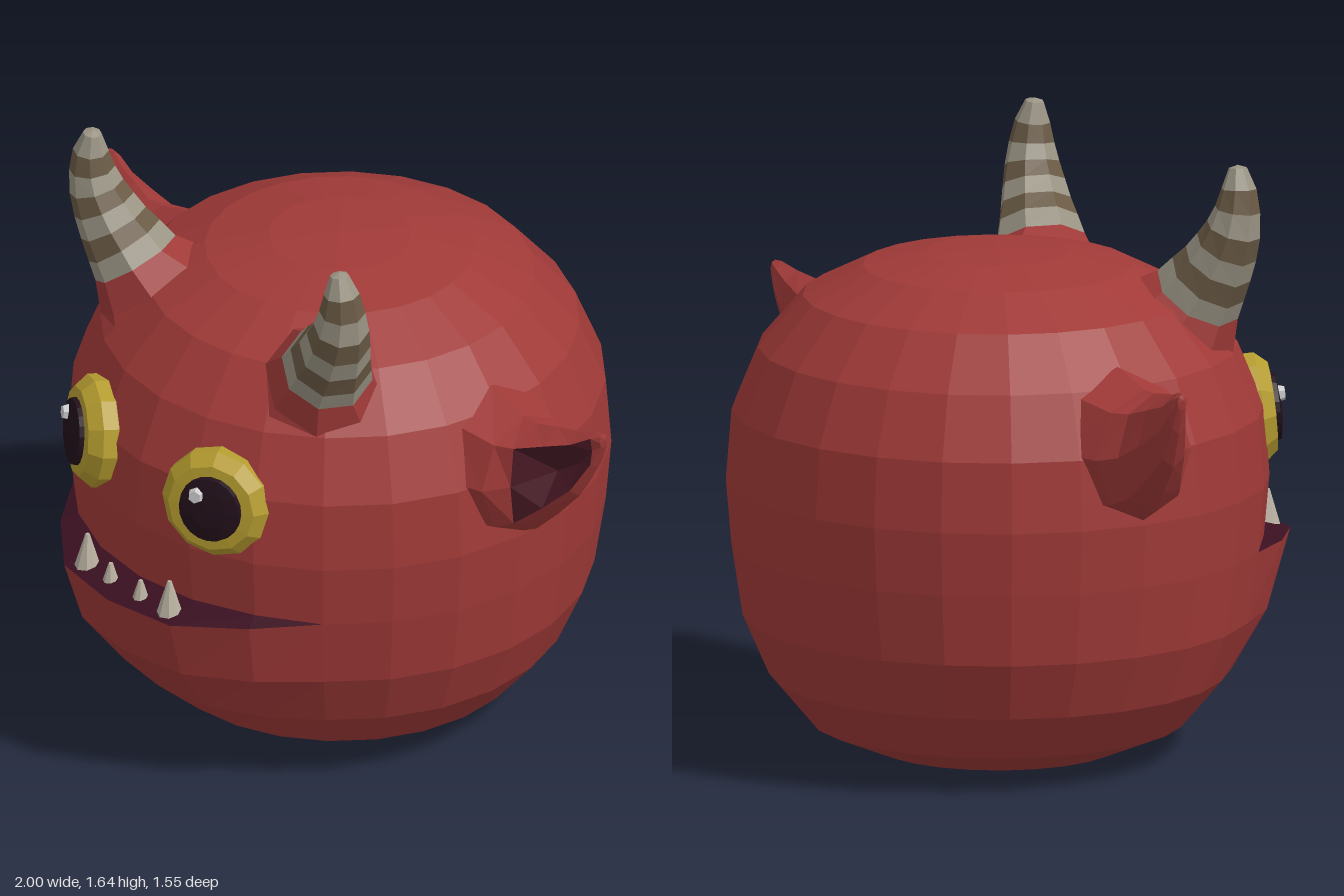
import * as THREE from 'three';

const material = (color) => new THREE.MeshStandardMaterial({ color, flatShading: true, side: THREE.DoubleSide });
const red = material(0xa03a38), mouthDark = material(0x3a1020), earDark = material(0x4a1a26);
const yellow = material(0xb59c30), black = material(0x22101a), white = material(0xcccccc);
const hornLight = material(0x9a9484), hornBrown = material(0x6a5a45), toothColor = material(0xb8b0a0);
const V = (x, y, z) => new THREE.Vector3(x, y, z);

// Skins closed rings of points; side = -1 mirrors in x; keep(row, column) selects faces
function loft(rings, side = 1, keep = () => true) {
  const pos = [];
  const tri = (a, b, c) => {
    const area = b.clone().sub(a).cross(c.clone().sub(a)).length();
    if (area < 1e-8) return;
    for (const p of side > 0 ? [a, b, c] : [a, c, b]) pos.push(p.x * side, p.y, p.z);
  };
  for (let r = 0; r < rings.length - 1; r++) {
    const lo = rings[r], hi = rings[r + 1], n = lo.length;
    for (let c = 0; c < n; c++) {
      if (!keep(r, c)) continue;
      const d = (c + 1) % n;
      tri(lo[c], lo[d], hi[d]);
      tri(lo[c], hi[d], hi[c]);
    }
  }
  const g = new THREE.BufferGeometry();
  g.setAttribute('position', new THREE.Float32BufferAttribute(pos, 3));
  g.computeVertexNormals();
  return g;
}

function add(parent, name, geometry, mat) {
  const m = new THREE.Mesh(geometry, mat);
  m.name = name;
  parent.add(m);
  return m;
}

// Circle of points around a centre, square to an axis
function circle(center, axis, radius, n = 8) {
  const n1 = axis.clone().normalize();
  const zDir = V(0, 0, 1).addScaledVector(n1, -n1.z).normalize();
  const xDir = n1.clone().cross(zDir);
  return Array.from({ length: n }, (_, i) => {
    const a = (i / n) * Math.PI * 2;
    return center.clone().addScaledVector(xDir, radius * Math.sin(a)).addScaledVector(zDir, radius * Math.cos(a));
  });
}

// Round body split at the mouth, with the lower jaw pushed forward
function buildBody(group) {
  const SEG = 24, jawWeight = [1, 0.95, 0.42, 0];
  const ring = (y, r, push = 0) => Array.from({ length: SEG }, (_, i) => {
    const a = (i / SEG) * Math.PI * 2;
    const w = jawWeight[Math.min(i, SEG - i)] ?? 0;
    const rr = r + push * w;
    return V(rr * Math.sin(a), y - (push > 0.1 ? 0.02 * w : 0), -0.05 + rr * Math.cos(a));
  });
  const lowerLip = ring(0.575, 0.71, 0.115), upperLip = ring(0.575, 0.71);
  // the upper lip arches slightly above the mouth corners
  upperLip.forEach((p, i) => { if (Math.min(i, SEG - i) < 3) p.y += 0.008; });
  const lower = [ring(0, 0), ring(0.02, 0.33), ring(0.09, 0.5), ring(0.22, 0.61, 0.035),
    ring(0.38, 0.68, 0.09), lowerLip];
  const upper = [upperLip, ring(0.75, 0.725), ring(0.94, 0.71), ring(1.11, 0.64), ring(1.25, 0.52),
    ring(1.33, 0.36), ring(1.365, 0.19), ring(1.375, 0)];
  add(group, 'lowerBody', loft(lower), red);
  add(group, 'upperBody', loft(upper), red);
  add(group, 'mouth', loft([lowerLip, upperLip]), mouthDark);
}

// Striped, curved horn on a flared base
function buildHorn(side) {
  const g = new THREE.Group();
  g.name = side > 0 ? 'leftHorn' : 'rightHorn';
  const path = new THREE.CatmullRomCurve3([V(0.385, 1.27, 0.335), V(0.45, 1.37, 0.362),
    V(0.495, 1.47, 0.38), V(0.505, 1.56, 0.388), V(0.497, 1.63, 0.39)]);
  const radii = [0.125, 0.112, 0.098, 0.087, 0.075, 0.062, 0.048, 0.025];
  const rings = radii.map((r, i) => circle(path.getPointAt(i / 7), path.getTangentAt(i / 7), r));
  rings.push(circle(V(0.496, 1.638, 0.39), V(0, 1, 0), 0));
  const isLight = (r) => r % 2 === 0 || r === 7;
  add(g, 'lightBands', loft(rings, side, isLight), hornLight);
  add(g, 'brownBands', loft(rings, side, (r) => !isLight(r)), hornBrown);
  const axis = path.getTangentAt(0);
  add(g, 'hornBase', loft([circle(V(0.29, 1.1, 0.25), axis, 0.27),
    circle(V(0.345, 1.2, 0.295), axis, 0.175), rings[0]], side), red);
  return g;
}

// Pointed ear with a hollow, dark front
function buildEar(side) {
  const g = new THREE.Group();
  g.name = side > 0 ? 'leftEar' : 'rightEar';
  // x, centre y, centre z, half height, half depth, front scale
  const sections = [
    [0.6, 0.95, -0.06, 0.21, 0.2, 1], [0.73, 0.945, -0.06, 0.178, 0.15, 1],
    [0.78, 0.958, -0.06, 0.163, 0.115, 0.8], [0.85, 1.0, -0.075, 0.135, 0.08, 0],
    [0.92, 1.047, -0.09, 0.1, 0.05, 0], [0.97, 1.107, -0.105, 0.057, 0.03, 0.5],
    [0.995, 1.142, -0.11, 0.022, 0.015, 1], [1.0, 1.148, -0.11, 0, 0, 1],
  ];
  const rings = sections.map(([x, y, z, hy, hz, front]) => Array.from({ length: 8 }, (_, i) => {
    const a = (i / 8) * Math.PI * 2;
    return V(x, y - hy * Math.sin(a), z + hz * Math.cos(a) * (i === 0 ? front : 1));
  }));
  const hollow = (r, c) => r >= 2 && r <= 4 && (c === 0 || c === 7);
  add(g, 'earShell', loft(rings, side, (r, c) => !hollow(r, c)), red);
  add(g, 'earInside', loft(rings, side, hollow), earDark);
  return g;
}

// Domed disc eye, turned outwards
function buildEye(side) {
  const g = new THREE.Group();
  g.name = side > 0 ? 'leftEye' : 'rightEye';
  const disc = (points, n) => new THREE.LatheGeometry(points.map(([r, h]) => new THREE.Vector2(r, h)), n)
    .rotateX(Math.PI / 2);
  add(g, 'eyeball', disc([[0.14, -0.04], [0.152, 0], [0.152, 0.04], [0.122, 0.075], [0, 0.085]], 12), yellow);
  const pupil = add(g, 'pupil', disc([[0.095, 0.07], [0.09, 0.09], [0.05, 0.098], [0, 0.1]], 20), black);
  pupil.scale.x = 0.95;
  const glint = add(g, 'glint', new THREE.CylinderGeometry(0.018, 0.024, 0.02, 6).rotateX(Math.PI / 2), white);
  glint.position.set(-0.035, 0.04, 0.1);
  g.position.set(0.235 * side, 0.9, 0.58);
  g.rotation.set(-0.1, 0.48 * side, 0, 'YXZ');
  return g;
}

export function createModel() {
  const model = new THREE.Group();
  model.name = 'hornedMonster';
  const body = new THREE.Group();
  body.name = 'body';
  buildBody(body);
  model.add(body);
  for (const side of [1, -1]) {
    model.add(buildHorn(side), buildEar(side), buildEye(side));
    // one large and one small tooth on each side
    for (const [x, z, r, h] of [[0.165, 0.7, 0.036, 0.1], [0.06, 0.71, 0.024, 0.06]]) {
      const tooth = add(model, 'tooth', new THREE.CylinderGeometry(0.006, r, h, 8), toothColor);
      tooth.position.set(x * side, 0.557 + h / 2, z);
    }
  }
  return model;
}
